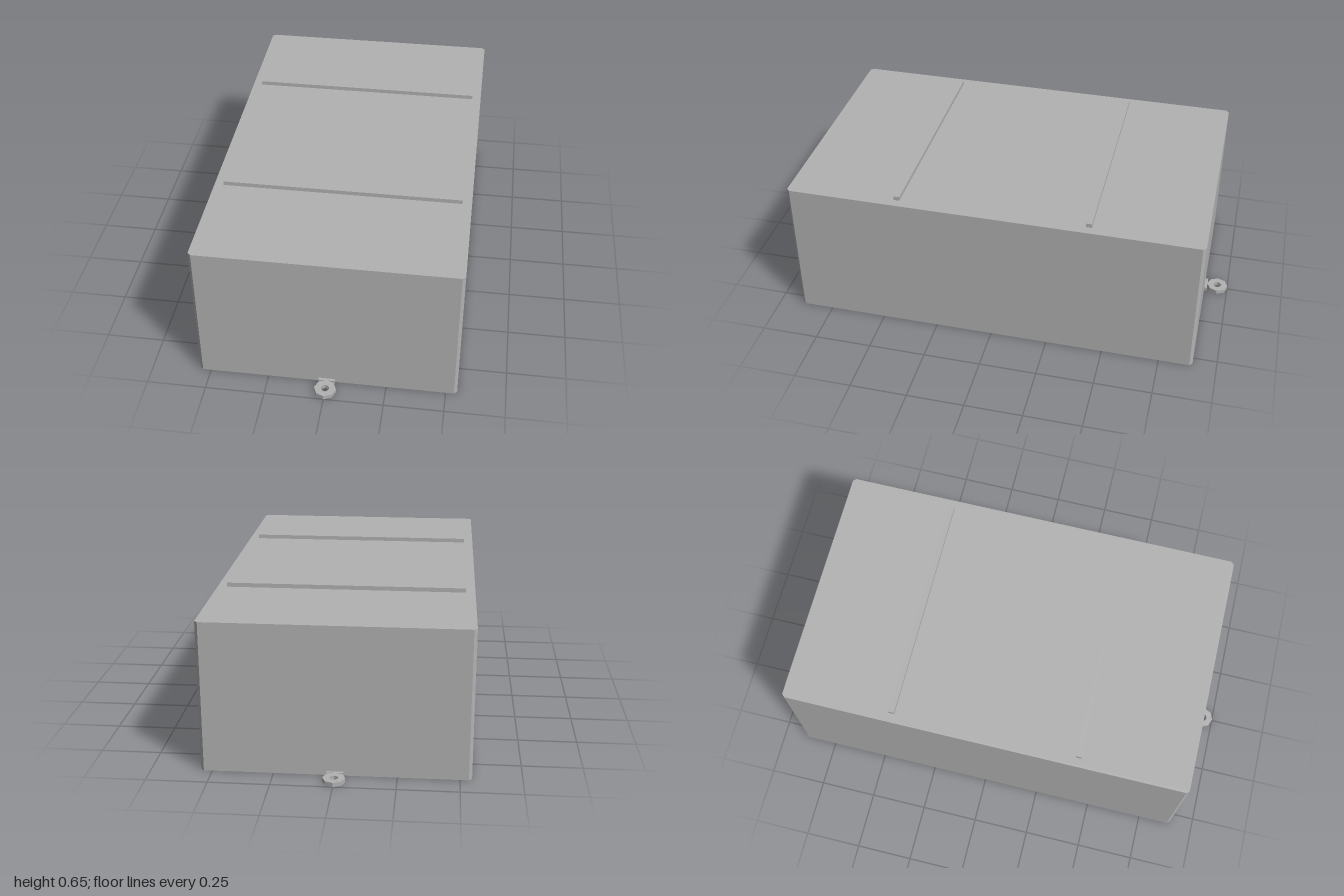
import * as THREE from 'three';

export function createModel() {
  const group = new THREE.Group();
  const grey = new THREE.MeshStandardMaterial({ color: 0xb2b2b2, flatShading: true });
  grey.name = 'grey';

  const add = (name, geometry, x, y, z) => {
    const mesh = new THREE.Mesh(geometry, grey);
    mesh.name = name;
    mesh.position.set(x, y, z);
    group.add(mesh);
  };

  // Extrudes a plan outline upwards from y = 0
  const extrudeUp = (shape, height) =>
    new THREE.ExtrudeGeometry(shape, { depth: height, bevelEnabled: false }).rotateX(-Math.PI / 2);

  // Corner points of an octagon with one corner on each axis
  const octagon = (r) => Array.from({ length: 8 }, (_, i) =>
    new THREE.Vector2(r * Math.cos(i * Math.PI / 4), r * Math.sin(i * Math.PI / 4)));

  // Main block with narrow chamfers on its upright edges
  const w = 0.548, d = 0.897, c = 0.013, h = 0.635;
  const plan = new THREE.Shape([
    [w, -d + c], [w, d - c], [w - c, d], [-w + c, d],
    [-w, d - c], [-w, -d + c], [-w + c, -d], [w - c, -d],
  ].map(([x, y]) => new THREE.Vector2(x, y)));
  add('body', extrudeUp(plan, h), 0, 0, 0);

  // Eyelet outline with a hole
  const ring = new THREE.Shape(octagon(0.046));
  ring.holes.push(new THREE.Path(octagon(0.018).reverse()));

  // Top rails and end eyelets, mirrored front to back
  for (const [side, s] of [['front', 1], ['back', -1]]) {
    add(side + 'Rail', new THREE.BoxGeometry(1.016, 0.018, 0.025), 0, h + 0.009, s * 0.413);
    add(side + 'EyeletPlate', new THREE.BoxGeometry(0.07, 0.017, 0.014), 0, 0.0085, s * 0.902);
    add(side + 'Eyelet', extrudeUp(ring, 0.018), 0, 0, s * 0.954);
  }
  return group;
}
